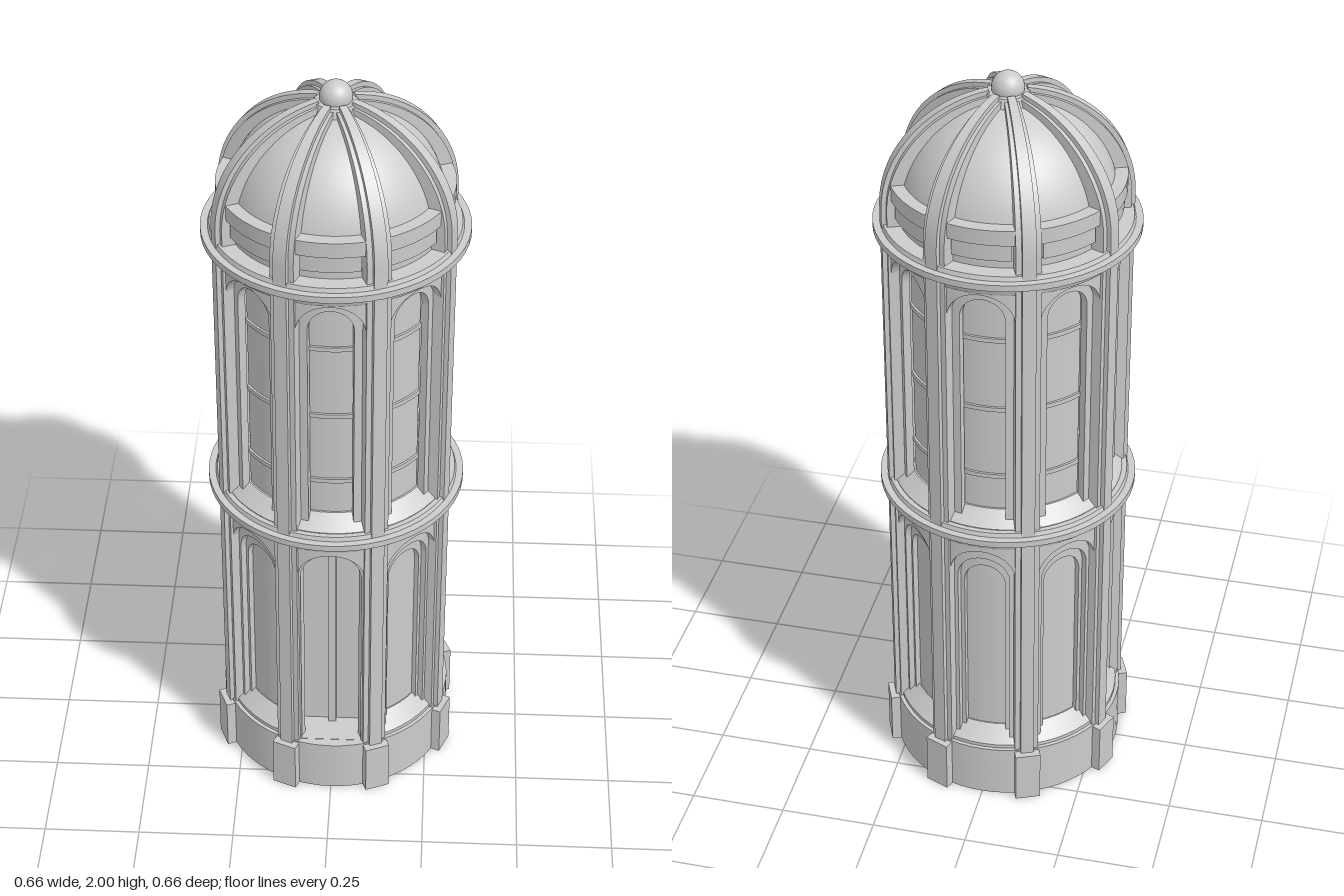
import * as THREE from 'three';
import { toCreasedNormals, mergeGeometries } from 'three/addons/utils/BufferGeometryUtils.js';

const BAY = Math.PI / 8; // half the angle of one of the eight bays
const R = 0.29;          // wall radius
const mat = new THREE.MeshStandardMaterial({ color: 0xcccccc, side: THREE.DoubleSide });

// Solid through a list of equal-length point rings, with end caps
function loft(rings) {
  const n = rings[0].length, idx = [];
  for (let i = 0; i < rings.length - 1; i++) {
    for (let j = 0; j < n; j++) {
      const a = i * n + j, b = i * n + (j + 1) % n;
      idx.push(a, a + n, b + n, a, b + n, b);
    }
  }
  const e = (rings.length - 1) * n;
  for (let j = 1; j < n - 1; j++) idx.push(0, j, j + 1, e, e + j + 1, e + j);
  const g = new THREE.BufferGeometry();
  g.setAttribute('position', new THREE.Float32BufferAttribute(rings.flat(2), 3));
  g.setIndex(idx);
  return toCreasedNormals(g, 0.5);
}

// Sweep an (r, y) profile, which may depend on the angle, around the axis
function sweep(a0, a1, n, profile) {
  const rings = [];
  for (let i = 0; i <= n; i++) {
    // cosine spacing keeps arches round at their springing
    const a = (a0 + a1) / 2 - (a1 - a0) / 2 * Math.cos(Math.PI * i / n);
    rings.push(profile(a).map(([r, y]) => [r * Math.sin(a), y, r * Math.cos(a)]));
  }
  return loft(rings);
}
const rect = (r0, r1, y0, y1) => [[r0, y0], [r1, y0], [r1, y1], [r0, y1]];
const archY = (a, hw, top) => top - hw + Math.sqrt(Math.max(0, hw * hw - (a * R) ** 2));

// One curved wall layer of a bay with an arched opening
function archLayer(r0, r1, y0, y1, hw, top) {
  const A = hw / R;
  return mergeGeometries([
    sweep(-BAY, -A, 3, () => rect(r0, r1, y0, y1)),
    sweep(A, BAY, 3, () => rect(r0, r1, y0, y1)),
    sweep(-A, A, 20, a => rect(r0, r1, archY(a, hw, top), y1)),
  ]);
}
const archPane = (r0, r1, y0, hw, top) =>
  sweep(-hw / R, hw / R, 20, a => rect(r0, r1, y0, archY(a, hw, top) + 0.001));
const sill = (y0, y1, hw) =>
  sweep(-hw / R, hw / R, 8, () => [[0.245, y0], [0.295, y0], [0.295, y0 + 0.01], [0.255, y1], [0.245, y1]]);

// Flat arch outline for the doorway
function archPath(path, hw, y0, top) {
  path.moveTo(-hw, y0);
  path.lineTo(hw, y0);
  path.lineTo(hw, top - hw);
  path.absarc(0, top - hw, hw, 0, Math.PI, false);
  path.lineTo(-hw, y0);
  return path;
}
const extrude = (shape, depth, z) => new THREE.ExtrudeGeometry(shape,
  { depth, bevelEnabled: false, curveSegments: 16 }).translate(0, 0, z);

// Pilaster that runs up the wall and bends over the dome as a tapering rib
function rib(depth, rOut, hw, topHw) {
  const rings = [];
  const ring = (r, y, nr, ny, w) => rings.push(
    [[-w, -depth], [w, -depth], [w, 0], [-w, 0]].map(([x, d]) => [x, y + ny * d, r + nr * d]));
  ring(rOut, 0.14, 1, 0, hw);
  for (let i = 0; i <= 20; i++) {
    const t = i / 20 * 1.42, c = Math.cos(t), s = Math.sin(t);
    ring(rOut * c, 1.66 + (rOut - 0.01) * s, c, s, THREE.MathUtils.lerp(topHw, hw, c));
  }
  return loft(rings);
}

export function createModel() {
  const tower = new THREE.Group();
  tower.name = 'domedTower';
  const add = (parent, name, geo) => {
    const m = new THREE.Mesh(geo, mat);
    m.name = name;
    parent.add(m);
    return m;
  };
  const lathe = (name, pts) => add(tower, name,
    toCreasedNormals(new THREE.LatheGeometry(pts.map(p => new THREE.Vector2(...p)), 64), 0.5));

  // Shared bay parts
  const lower = [
    ['lowerWall', archLayer(0.28, 0.295, 0.15, 0.845, 0.085, 0.80)],
    ['lowerArchStep', archLayer(0.265, 0.28, 0.15, 0.845, 0.071, 0.768)],
    ['lowerInnerArch', archLayer(0.25, 0.265, 0.15, 0.845, 0.059, 0.735)],
    ['nichePanel', archPane(0.244, 0.252, 0.15, 0.062, 0.74)],
    ['lowerSill', sill(0.15, 0.2, 0.085)],
  ];
  const upper = [
    ['upperWall', archLayer(0.275, 0.295, 0.865, 1.6, 0.085, 1.56)],
    ['windowFrame', archLayer(0.255, 0.275, 0.865, 1.6, 0.06, 1.535)],
    ['windowPane', archPane(0.244, 0.25, 0.865, 0.063, 1.54)],
    ['windowSill', sill(0.865, 0.91, 0.085)],
    ['windowBars', mergeGeometries([1.01, 1.21, 1.41].map(y =>
      sweep(-0.21, 0.21, 8, () => rect(0.246, 0.256, y - 0.006, y + 0.006))))],
  ];
  const domeBands = [
    ['domeLowerBand', sweep(-0.26, 0.26, 10, () => rect(0.25, 0.283, 1.65, 1.695))],
    ['domeUpperBand', sweep(-0.3, 0.3, 10, () => rect(0.25, 0.29, 1.695, 1.735))],
  ];
  const ribParts = [
    ['pilasterFlank', rib(0.04, 0.3, 0.031, 0.014)],
    ['pilasterRib', rib(0.04, 0.312, 0.017, 0.008)],
    ['plinthBlock', new THREE.BoxGeometry(0.066, 0.145, 0.075).translate(0, 0.0725, 0.29)],
  ];

  // Eight bays, the front one holding the doorway
  for (let k = 0; k < 8; k++) {
    const bay = new THREE.Group();
    bay.name = k ? 'bay' : 'frontBay';
    bay.rotation.y = k * 2 * BAY;
    const parts = [...(k ? lower : lower.slice(0, 1)), ...upper, ...domeBands];
    parts.forEach(([name, geo]) => add(bay, name, geo));
    tower.add(bay);

    const pier = new THREE.Group();
    pier.name = 'pier';
    pier.rotation.y = (2 * k + 1) * BAY;
    ribParts.forEach(([name, geo]) => add(pier, name, geo));
    tower.add(pier);
  }

  // Recessed doorway with two leaves, a centre post and a floor slab
  const surround = archPath(new THREE.Shape(), 0.092, 0.15, 0.807);
  surround.holes.push(archPath(new THREE.Path(), 0.078, 0.151, 0.793));
  add(tower, 'doorSurround', extrude(surround, 0.1, 0.18));
  add(tower, 'doorLeaves', extrude(archPath(new THREE.Shape(), 0.079, 0.15, 0.794), 0.01, 0.185));
  add(tower, 'doorPost', new THREE.BoxGeometry(0.02, 0.64, 0.02).translate(0, 0.47, 0.2));
  add(tower, 'doorFloor', new THREE.BoxGeometry(0.18, 0.03, 0.16).translate(0, 0.135, 0.2));

  // Hollow base and cornices
  lathe('base', [[0.255, 0], [0.305, 0], [0.305, 0.15], [0.255, 0.15], [0.255, 0]]);
  for (const [name, y] of [['middleCornice', 0.845], ['upperCornice', 1.595]]) {
    lathe(name, [[0.25, y - 0.03], [0.298, y - 0.03], [0.308, y], [0.33, y], [0.33, y + 0.017],
      [0.312, y + 0.017], [0.308, y + 0.028], [0.25, y + 0.028]]);
  }

  // Dome, crown and finial
  const dome = [[0.268, 1.61]];
  for (let i = 0; i <= 24; i++) {
    const t = i / 24 * Math.PI / 2;
    dome.push([0.268 * Math.cos(t), 1.66 + 0.275 * Math.sin(t)]);
  }
  lathe('dome', dome);
  add(tower, 'crown', new THREE.CylinderGeometry(0.055, 0.065, 0.03, 8).rotateY(BAY).translate(0, 1.937, 0));
  add(tower, 'finial', new THREE.SphereGeometry(0.04, 32, 20).translate(0, 1.96, 0));
  return tower;
}
